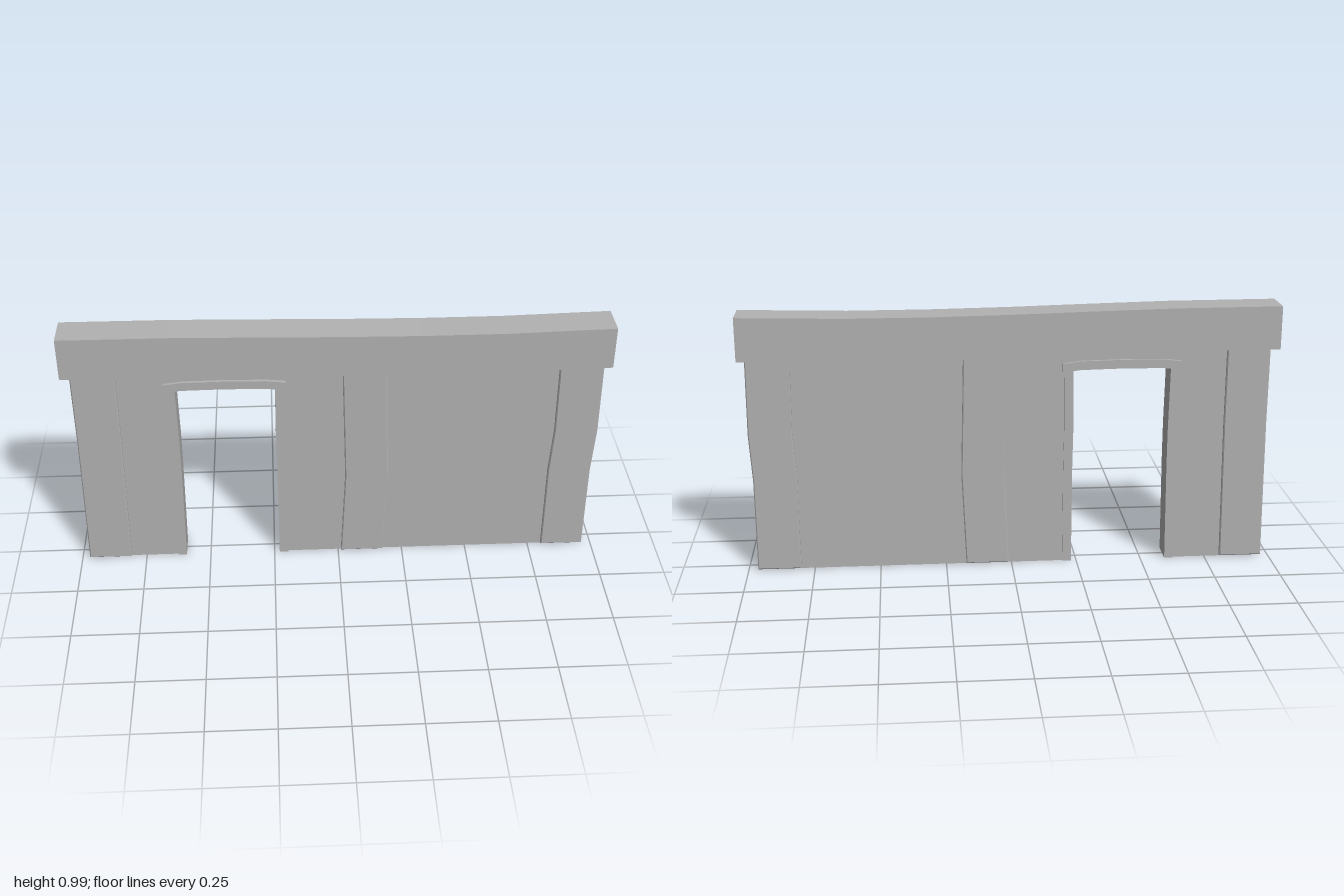
import * as THREE from 'three';

// Extrude a front outline symmetrically about z = 0, with an optional edge chamfer
function slab(points, depth, chamfer = 0) {
  const shape = new THREE.Shape(points.map(([x, y]) => new THREE.Vector2(x, y)));
  const geometry = new THREE.ExtrudeGeometry(shape, {
    depth: depth - 2 * chamfer,
    bevelEnabled: chamfer > 0,
    bevelThickness: chamfer,
    bevelSize: chamfer,
    bevelOffset: -chamfer,
    bevelSegments: 1,
  });
  return geometry.translate(0, 0, -depth / 2 + chamfer);
}

// Upright outline: [centre x, y] rows widened to a strip
function strip(rows, width) {
  const right = rows.map(([x, y]) => [x + width / 2, y]);
  const left = rows.map(([x, y]) => [x - width / 2, y]).reverse();
  return [...right, ...left];
}

// Lengthwise outline: [x, bottom y] columns thickened upwards
function rail(columns, height) {
  const top = columns.map(([x, y]) => [x, y + height]).reverse();
  return [...columns, ...top];
}

export function createModel() {
  const model = new THREE.Group();
  const plaster = new THREE.MeshStandardMaterial({ color: 0xb2b2b2 });
  plaster.name = 'grey plaster';

  const add = (name, geometry) => {
    const mesh = new THREE.Mesh(geometry, plaster);
    mesh.name = name;
    model.add(mesh);
  };

  // Wall panel with the doorway notched out
  add('wall', slab([
    [-0.93, 0], [-0.61, 0], [-0.61, 0.775], [-0.213, 0.775], [-0.213, 0],
    [0.93, 0], [0.93, 0.83], [-0.93, 0.83],
  ], 0.086));

  // Slightly crooked timber posts
  const posts = {
    rightPost: [[-0.89, 0.004], [-0.886, 0.36], [-0.884, 0.54], [-0.885, 0.85]],
    middlePost: [[0.092, 0.004], [0.108, 0.36], [0.106, 0.45], [0.097, 0.84]],
    leftPost: [[0.883, 0.004], [0.883, 0.36], [0.893, 0.54], [0.89, 0.84]],
  };
  for (const [name, rows] of Object.entries(posts)) {
    add(name, slab(strip(rows, 0.162), 0.114, 0.004));
  }

  // Door jambs and lintel
  add('rightJamb', slab(strip([[-0.61, 0], [-0.606, 0.38], [-0.606, 0.52], [-0.61, 0.77]], 0.032), 0.1));
  add('leftJamb', slab(strip([[-0.213, 0], [-0.213, 0.38], [-0.215, 0.52], [-0.213, 0.77]], 0.034), 0.1));
  add('doorLintel', slab(rail([
    [-0.635, 0.755], [-0.57, 0.763], [-0.42, 0.765], [-0.26, 0.762], [-0.19, 0.754],
  ], 0.033), 0.108));

  // Sagging top beam
  add('topBeam', slab(rail([
    [-1, 0.829], [-0.6, 0.828], [-0.3, 0.822], [0, 0.815],
    [0.3, 0.811], [0.6, 0.811], [1, 0.821],
  ], 0.163), 0.13));

  return model;
}
